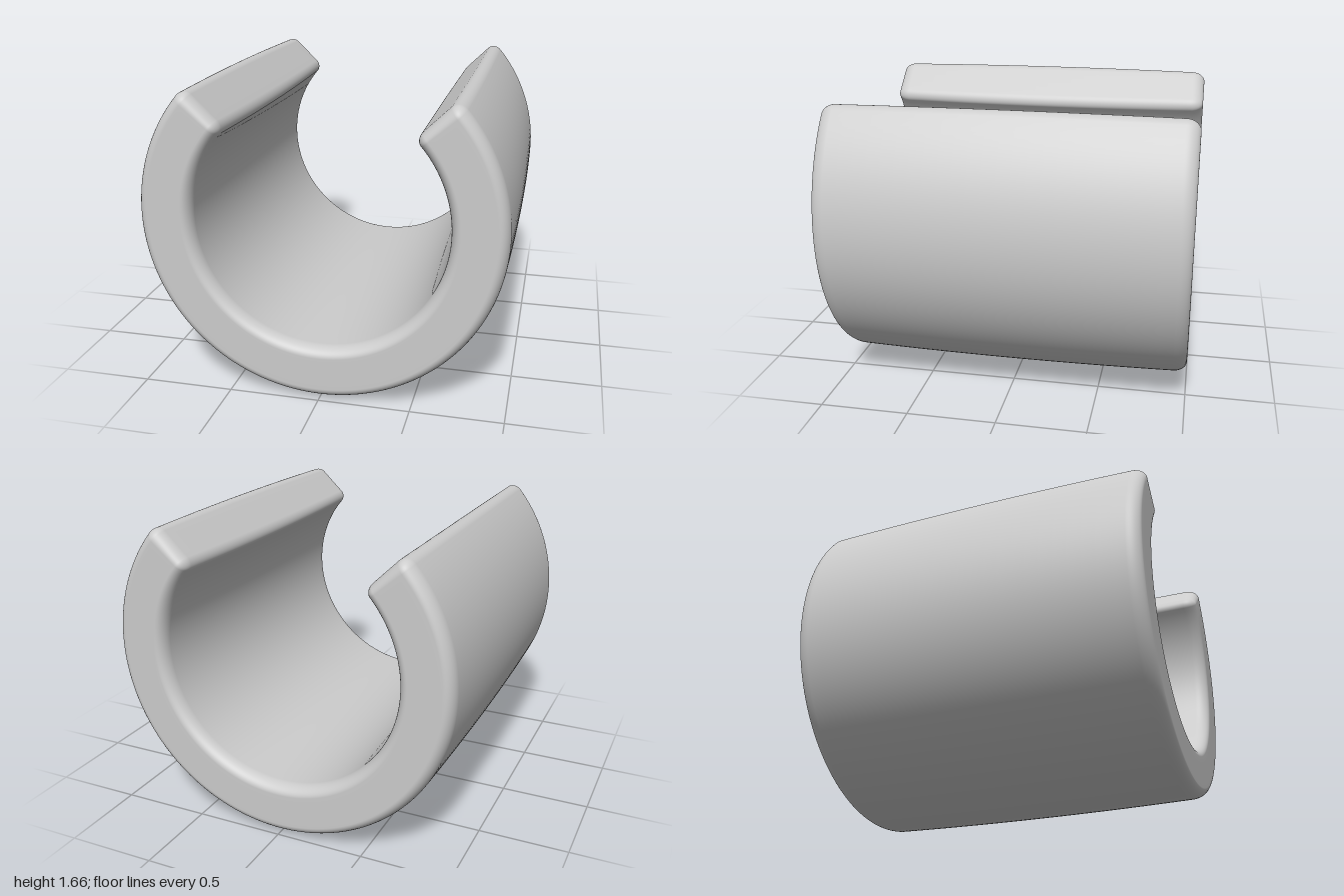
import * as THREE from 'three';
import { mergeVertices } from 'three/addons/utils/BufferGeometryUtils.js';

const OUTER = 0.992, INNER = 0.673, CENTRE_Y = 0.993;
const END_ANGLE = THREE.MathUtils.degToRad(134.2); // half sweep, measured from the bottom
const MID = (OUTER + INNER) / 2;

// half sizes of the straight bar (radial, along the arc, along z) and its edge rounding
const HALF = [(OUTER - INNER) / 2, END_ANGLE * MID, 1];
const ROUND = [0.06, 0.055, 0.075];
const BAND = 6; // segments in each rounded edge
const FLAT = [6, 120, 24]; // segments between the edges

// splits a box coordinate (-1..1) into a flat part and an edge excess (-1..1)
function split(u, axis) {
  const step = (u + 1) / 2 * (FLAT[axis] + 2 * BAND) - BAND;
  const core = HALF[axis] - ROUND[axis];
  const t = THREE.MathUtils.clamp(step / FLAT[axis], 0, 1);
  const over = step < 0 ? step : Math.max(0, step - FLAT[axis]);
  return [(t * 2 - 1) * core, Math.tan(over / BAND * Math.PI / 4)];
}

// rounded bar, slightly bulged along its length, bent into an open ring
function bentBar() {
  const seg = FLAT.map((n) => n + 2 * BAND);
  let geo = new THREE.BoxGeometry(2, 2, 2, ...seg);
  geo.deleteAttribute('normal');
  geo.deleteAttribute('uv');
  const pos = geo.attributes.position;
  const excess = new THREE.Vector3();
  for (let i = 0; i < pos.count; i++) {
    const parts = [pos.getX(i), pos.getY(i), pos.getZ(i)].map(split);
    excess.set(parts[0][1], parts[1][1], parts[2][1]).normalize();
    const [x, y, z] = parts.map((p, k) => p[0] + excess.getComponent(k) * ROUND[k]);
    const r = MID + x * (1 - 0.09 * z * z);
    const a = y / MID - Math.PI / 2;
    pos.setXYZ(i, r * Math.cos(a), CENTRE_Y + r * Math.sin(a), z);
  }
  geo = mergeVertices(geo, 1e-5);
  geo.computeVertexNormals();
  return geo;
}

export function createModel() {
  const group = new THREE.Group();
  group.name = 'openRingClip';
  const clip = new THREE.Mesh(bentBar(), new THREE.MeshStandardMaterial({ color: 0xcccccc }));
  clip.name = 'clipBody';
  group.add(clip);
  return group;
}
